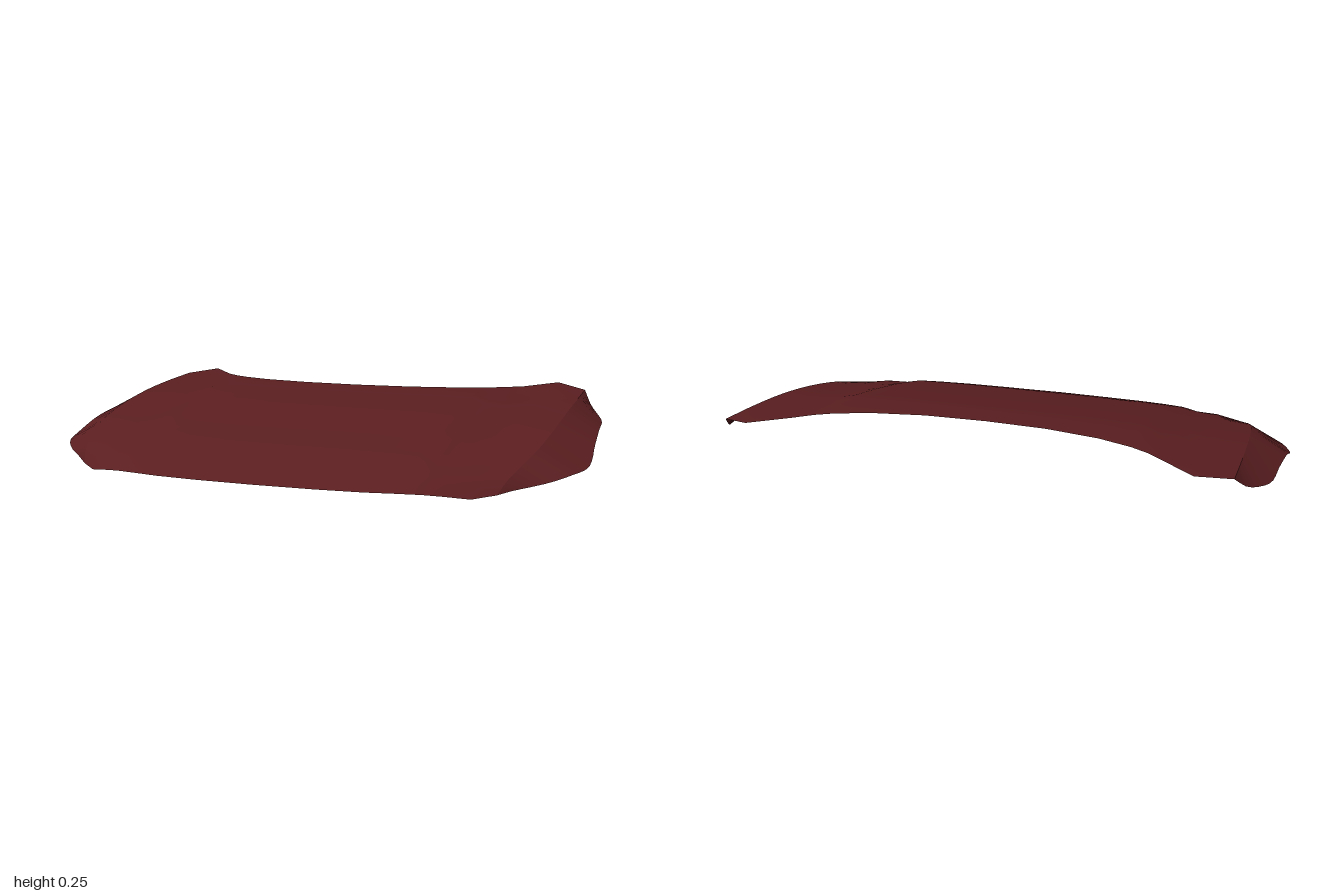
import * as THREE from 'three';

const ROWS = 28;
const paint = new THREE.MeshStandardMaterial({ color: 0x5a1e20, side: THREE.DoubleSide });

// Lengthwise crown of the panel: [z, y] from nose to rear corners
const crown = [[0.645, 0.024], [0.5, 0.073], [0.39, 0.108], [0.2, 0.155],
  [0, 0.195], [-0.2, 0.229], [-0.35, 0.241], [-0.65, 0.251]];

function crownHeight(z) {
  for (let i = 1; i < crown.length; i++) {
    const [z0, y0] = crown[i - 1], [z1, y1] = crown[i];
    if (z >= z1) return y0 + (y1 - y0) * (z - z0) / (z1 - z0);
  }
  return 0.251;
}

// Front-to-rear line that follows the crown, set down by drop and rolled under at the nose
function crownLine([xFront, xRear, zFront, zRear, yFront, drop]) {
  const height = z => crownHeight(z) - drop * (1 - THREE.MathUtils.smoothstep(-z, 0.3, 0.64));
  const roll = height(zFront) - yFront;
  return Array.from({ length: ROWS + 1 }, (_, i) => {
    const t = i / ROWS, z = THREE.MathUtils.lerp(zFront, zRear, t);
    const k = Math.max(0, 1 - (zFront - z) / 0.15);
    return new THREE.Vector3(THREE.MathUtils.lerp(xFront, xRear, t), height(z) - roll * k * k, z);
  });
}

function curveLine(points) {
  const curve = new THREE.CatmullRomCurve3(points.map(p => new THREE.Vector3(...p)), false, 'centripetal');
  return curve.getSpacedPoints(ROWS);
}

const mirrorLine = line => line.map(p => new THREE.Vector3(-p.x, p.y, p.z));

// Skin across neighbouring lines, ordered from -x to +x
function loft(name, lines) {
  const n = lines.length, positions = [], index = [];
  for (let i = 0; i <= ROWS; i++) {
    for (const line of lines) positions.push(line[i].x, line[i].y, line[i].z);
  }
  for (let i = 0; i < ROWS; i++) {
    for (let j = 0; j < n - 1; j++) {
      const a = i * n + j, b = a + 1, c = a + n, d = c + 1;
      index.push(a, b, c, b, d, c);
    }
  }
  const geometry = new THREE.BufferGeometry();
  geometry.setAttribute('position', new THREE.Float32BufferAttribute(positions, 3));
  geometry.setIndex(index);
  geometry.computeVertexNormals();
  const mesh = new THREE.Mesh(geometry, paint);
  mesh.name = name;
  return mesh;
}

export function createModel() {
  const group = new THREE.Group();
  group.name = 'hood';

  // Half of the main panel: xFront, xRear, zFront, zRear, yFront, drop
  const half = [
    [0.21, 0.22, 0.64, -0.365, 0.024, 0],
    [0.37, 0.41, 0.623, -0.4, 0.023, 0.001],
    [0.47, 0.53, 0.6, -0.445, 0.022, 0.003],
    [0.55, 0.59, 0.575, -0.48, 0.019, 0.006],
    [0.61, 0.65, 0.55, -0.53, 0.013, 0.018],
    [0.69, 0.765, 0.515, -0.645, 0.003, 0.019],
  ].map(crownLine);

  // Crease where the panel folds down into the side flange
  const crease = curveLine([[0.76, 0.011, 0.46], [0.785, 0.054, 0.41], [0.825, 0.1, 0.29],
    [0.848, 0.13, 0.19], [0.867, 0.17, 0], [0.876, 0.2, -0.2], [0.88, 0.219, -0.4], [0.88, 0.232, -0.585]]);
  half.push(crease);

  // Free outer edge of the flange
  const edge = curveLine([[0.8, 0.02, 0.42], [0.9, 0.036, 0.33], [0.96, 0.05, 0.25], [1, 0.06, 0.14],
    [0.998, 0.11, -0.02], [0.988, 0.135, -0.2], [0.975, 0.145, -0.37], [0.942, 0.163, -0.46],
    [0.915, 0.182, -0.515], [0.88, 0.232, -0.585]]);

  const centre = crownLine([0, 0, 0.645, -0.355, 0.024, 0]);
  group.add(loft('mainPanel', [...half.map(mirrorLine).reverse(), centre, ...half]));
  group.add(loft('leftFlange', [crease, edge]));
  group.add(loft('rightFlange', [mirrorLine(edge), mirrorLine(crease)]));
  return group;
}
